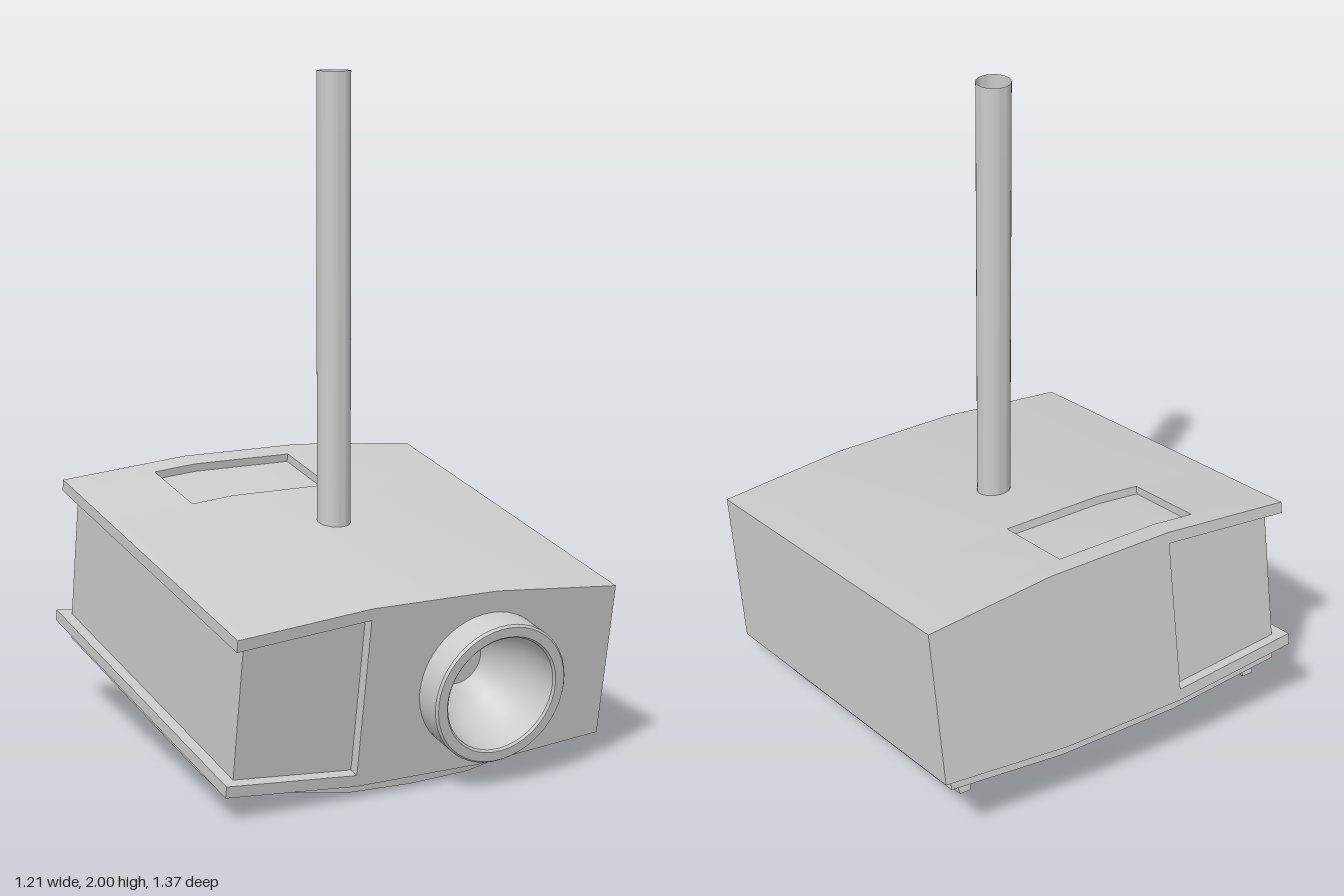
import * as THREE from 'three';
import { toCreasedNormals } from 'three/addons/utils/BufferGeometryUtils.js';

const mat = new THREE.MeshStandardMaterial({ color: 0xcccccc });
const doubleMat = new THREE.MeshStandardMaterial({ color: 0xcccccc, side: THREE.DoubleSide });

const W = 0.607, D = 0.607;          // half width and half depth of the case
const TOP = 0.258, BOT = -0.285;     // crowned centre heights
const LIP = 0.035, BAY = -0.2;       // lip thickness, inner wall of the side bay
const LENS = { x: 0.19, y: -0.018 };

// How far top and bottom bend in towards the sides
const crown = (x) => 0.037 * Math.max(0, Math.abs(x) - 0.2) / 0.407;
const top = (x, d = 0) => [x, TOP - d - crown(x)];
const bot = (x, d = 0) => [x, BOT + d + crown(x)];

function add(parent, name, geometry, material = mat, crease = 0.5) {
  const mesh = new THREE.Mesh(toCreasedNormals(geometry, crease), material);
  mesh.name = name;
  parent.add(mesh);
  return mesh;
}

function prism(points, z0, z1, hole) {
  const shape = new THREE.Shape(points.map((p) => new THREE.Vector2(...p)));
  if (hole) shape.holes.push(hole);
  const g = new THREE.ExtrudeGeometry(shape, { depth: z1 - z0, bevelEnabled: false, curveSegments: 24 });
  return g.translate(0, 0, z0);
}

// C-shaped case section: open bay on the right side, optional pocket in the top
function section(pocket) {
  const notch = pocket
    ? [top(0.125), top(0.125, 0.025), top(-0.2, 0.025), top(-0.335, 0.025), top(-0.335)]
    : [top(-0.2)];
  return [
    bot(-W), bot(-0.2), bot(0.2), bot(W), top(W), top(0.2), ...notch,
    top(-W), top(-W, LIP), top(BAY, LIP), bot(BAY, LIP), bot(-W, LIP),
  ];
}

// Crowned plate lofted along x, with a front edge bowed by `bow`
function crownedPlate(w, yTop, yBottom, zBack, zFront, bow) {
  const half = [0, 0.2, 0.32, 0.42, 0.49, 0.535, 0.56, 0.57].map((x) => x * w / 0.57);
  const xs = [...half.slice(1).reverse().map((x) => -x), ...half];
  const pos = [], idx = [];
  for (const x of xs) {
    const c = crown(x);
    const zf = zFront - bow * (1 - Math.sqrt(Math.max(0, 1 - (x / w) ** 2)));
    pos.push(x, yTop + c, zBack, x, yTop + c, zf, x, yBottom + c, zf, x, yBottom + c, zBack);
  }
  for (let i = 0; i < xs.length - 1; i++) {
    for (let j = 0; j < 4; j++) {
      const a = i * 4 + j, b = i * 4 + (j + 1) % 4;
      idx.push(a, b, b + 4, a, b + 4, a + 4);
    }
  }
  const e = (xs.length - 1) * 4;
  idx.push(0, 2, 1, 0, 3, 2, e, e + 1, e + 2, e, e + 2, e + 3);
  const g = new THREE.BufferGeometry();
  g.setAttribute('position', new THREE.Float32BufferAttribute(pos, 3));
  g.setIndex(idx);
  g.computeVertexNormals();
  return g;
}

export function createModel() {
  const model = new THREE.Group();
  model.name = 'ceilingProjector';

  // Everything except the pole is tipped forward
  const unit = new THREE.Group();
  unit.name = 'projectorUnit';
  unit.position.set(0, 0.427, -0.04);
  unit.rotation.x = THREE.MathUtils.degToRad(10);
  model.add(unit);

  // Case in three slices: lens opening in front, pocket in the middle, plain back
  const opening = new THREE.Path();
  opening.absarc(LENS.x, LENS.y, 0.19, 0, Math.PI * 2, true);
  add(unit, 'caseFront', prism(section(false), -0.26, D, opening));
  add(unit, 'casePocket', prism(section(true), -0.533, -0.26));
  add(unit, 'caseBack', prism(section(false), -D, -0.533));

  // Inset block filling the bay, set back behind the lips
  add(unit, 'bayPanel', prism([
    bot(-0.57, LIP), bot(BAY, LIP), top(BAY, LIP), top(-0.57, LIP),
  ], -D + LIP, D - LIP));

  // Lens barrel with a hollow bowl
  const profile = [
    [0.212, 0.58], [0.212, 0.695], [0.206, 0.702], [0.178, 0.702], [0.172, 0.696],
    [0.168, 0.63], [0.152, 0.575], [0.125, 0.52], [0.095, 0.48], [0.077, 0.46], [0, 0.46],
  ].map((p) => new THREE.Vector2(...p));
  const lens = add(unit, 'lens', new THREE.LatheGeometry(profile, 48).rotateX(Math.PI / 2), doubleMat);
  lens.position.set(LENS.x, LENS.y, 0);

  // Bottom tray under a shadow gap
  add(unit, 'trayNeck', crownedPlate(0.54, BOT + 0.005, -0.31, -0.54, 0.54, 0.19));
  add(unit, 'tray', crownedPlate(0.57, -0.303, -0.33, -0.567, 0.57, 0.19));

  // Four tapered feet
  const footSection = [[-0.017, -0.348], [0.017, -0.348], [0.027, -0.29], [-0.027, -0.29]];
  for (const x of [-0.505, 0.505]) {
    for (const z of [0.288, -0.44]) {
      const foot = add(unit, 'foot', prism(footSection, -0.085, 0.085));
      foot.position.set(x, 0, z);
    }
  }

  // Hollow hanging pole
  const pole = add(model, 'pole', new THREE.CylinderGeometry(0.05, 0.05, 1.33, 32, 1, true), doubleMat);
  pole.position.set(0, 1.335, 0.013);

  return model;
}
